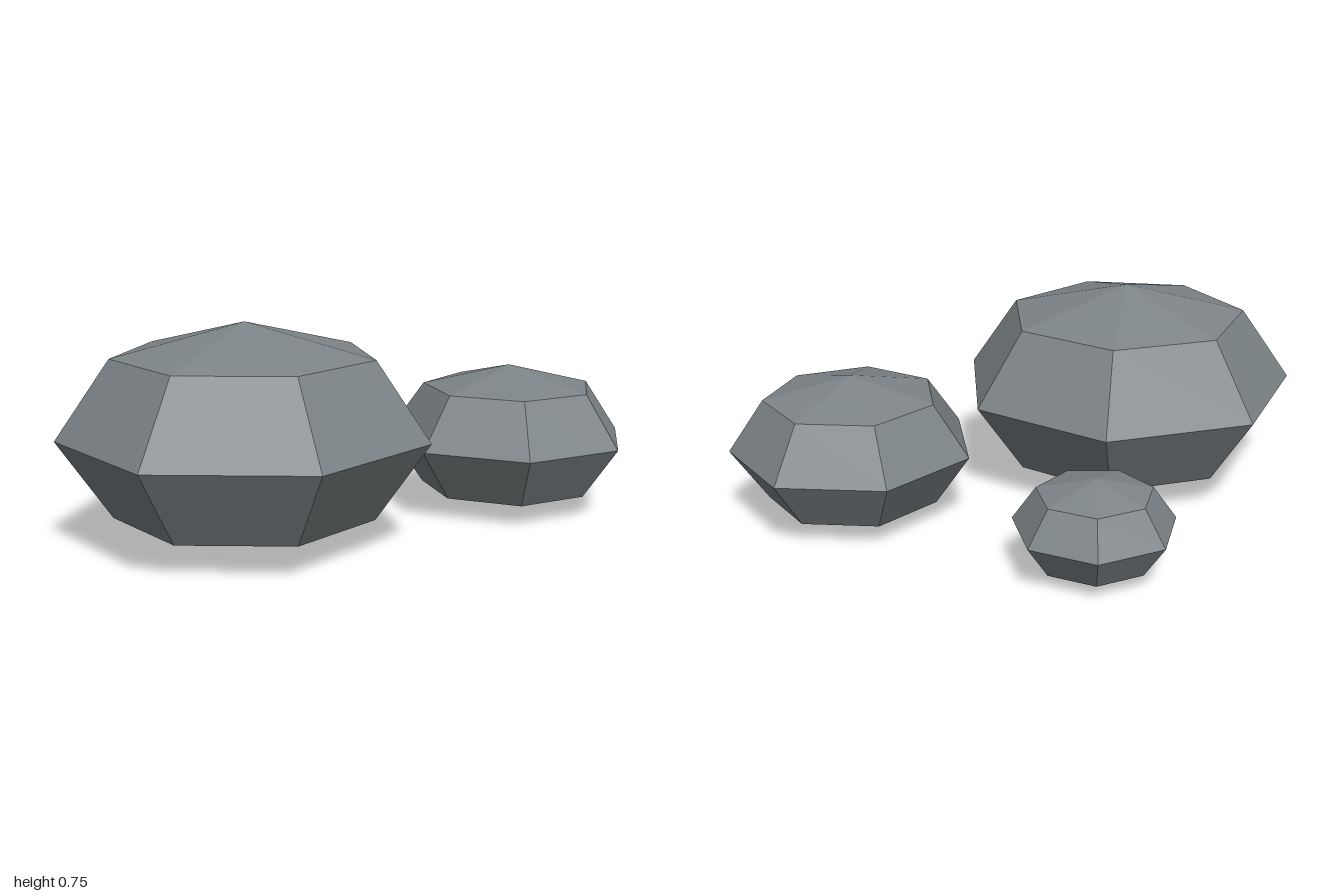
import * as THREE from 'three';

const stone = new THREE.MeshStandardMaterial({ color: 0x7d8487, flatShading: true });
stone.name = 'stone grey';

const SQUASH = 0.6; // height of each boulder relative to its width

// Faceted boulder: a seven-sided low sphere, flattened and resting on the ground
function boulder(name, radius, x, z, turn) {
  const geometry = new THREE.SphereGeometry(radius, 7, 4);
  geometry.scale(1, SQUASH, 1);
  const mesh = new THREE.Mesh(geometry, stone);
  mesh.name = name;
  mesh.position.set(x, radius * SQUASH, z);
  mesh.rotation.y = THREE.MathUtils.degToRad(turn);
  return mesh;
}

export function createModel() {
  const group = new THREE.Group();
  group.name = 'boulderCluster';
  group.add(
    boulder('largeBoulder', 0.625, -0.424, 0.122, 22.8),
    boulder('mediumBoulder', 0.4375, 0.6, 0.35, 1.6),
    boulder('smallBoulder', 0.281, 0.143, -0.504, 31.7),
  );
  return group;
}
